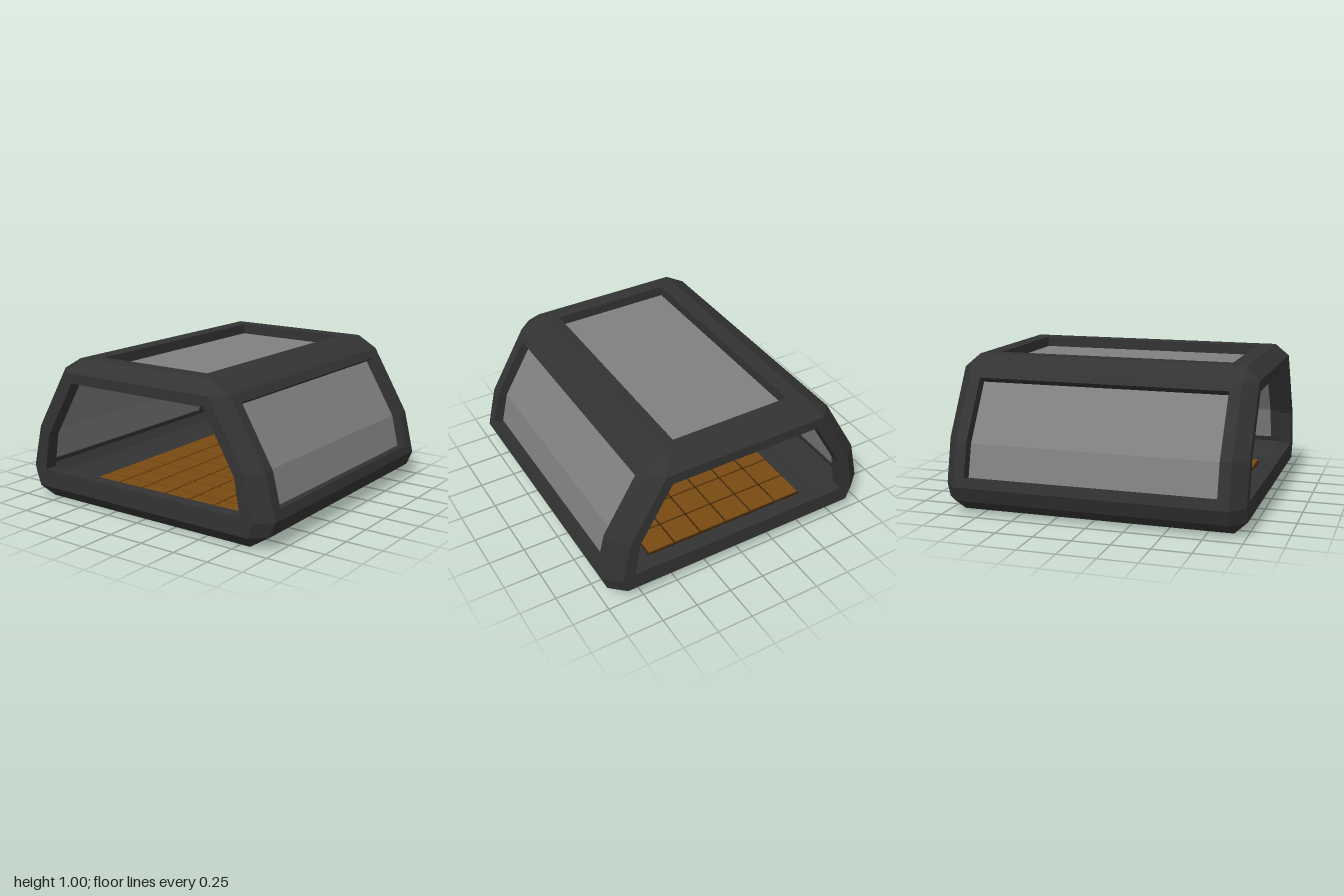
import * as THREE from 'three';

const frameMat = new THREE.MeshStandardMaterial({ color: 0x333333, flatShading: true });
const glassMat = new THREE.MeshStandardMaterial({ color: 0x808080, flatShading: true });
const baseMat = new THREE.MeshStandardMaterial({ color: 0x3a2208 });
const tileMat = new THREE.MeshStandardMaterial({ color: 0x7a4a12 });

// Half profiles as [z, y], from the bottom centre outwards and up to the roof
const outer = [[0.82, 0], [0.96, 0.09], [1, 0.19], [0.93, 0.48], [0.67, 0.92], [0.53, 1]];
const bevel = [[0.86, 0.09], [0.86, 0.09], [0.895, 0.19], [0.83, 0.48], [0.575, 0.915], [0.575, 0.915]];
const opening = [[0.805, 0.21], [0.805, 0.21], [0.805, 0.21], [0.765, 0.45], [0.535, 0.845], [0.535, 0.845]];
const inner = [[0.76, 0.1], [0.86, 0.14], [0.9, 0.2], [0.835, 0.45], [0.6, 0.84], [0.5, 0.9]];

// Lower and upper edges of the sloping windows, on the outer and inner skins
const lowOut = [0.985, 0.255], lowIn = [0.888, 0.232];
const highOut = [0.703, 0.865], highIn = [0.617, 0.814];

const END = 0.91, SIDE_HALF = 0.835, TOP_HALF = 0.8, TOP_Z = 0.42;
const flip = (pts) => pts.map(([z, y]) => [-z, y]).reverse();

// Extrudes a [z, y] outline along x from x0 to x1
function bar(name, pts, x0, x1, mat = frameMat) {
  const shape = new THREE.Shape(pts.map(([z, y]) => new THREE.Vector2(z, y)));
  const geo = new THREE.ExtrudeGeometry(shape, { depth: x1 - x0, bevelEnabled: false });
  geo.rotateY(-Math.PI / 2).translate(x1, 0, 0);
  const mesh = new THREE.Mesh(geo, mat);
  mesh.name = name;
  return mesh;
}

function box(name, w, h, d, x, y, z, mat) {
  const mesh = new THREE.Mesh(new THREE.BoxGeometry(w, h, d), mat);
  mesh.position.set(x, y, z);
  mesh.name = name;
  return mesh;
}

// Bevelled end ring, lofted around: outer skin, end face, opening, inside face
function endFrameGeometry() {
  const section = (half, x) => [...half, ...flip(half)].map(([z, y]) => [x, y, z]);
  const loops = [section(outer, END), section(bevel, 1), section(opening, 1), section(opening, END)];
  const pos = [];
  const n = loops[0].length;
  loops.forEach((loop, s) => {
    const next = loops[(s + 1) % loops.length];
    for (let i = 0; i < n; i++) {
      const j = (i + 1) % n;
      pos.push(...loop[i], ...next[i], ...next[j], ...loop[i], ...next[j], ...loop[j]);
    }
  });
  const geo = new THREE.BufferGeometry();
  geo.setAttribute('position', new THREE.Float32BufferAttribute(pos, 3));
  geo.computeVertexNormals();
  return geo;
}

export function createModel() {
  const model = new THREE.Group();
  model.name = 'shelter';

  // Tray: underside, lower chamfers and lower window sills in one piece
  const trayOut = [...outer.slice(0, 3), lowOut];
  const trayIn = [...inner.slice(0, 3), lowIn];
  model.add(bar('baseTray',
    [...trayOut, ...[...trayIn].reverse(), ...[...flip(trayIn)].reverse(), ...flip(trayOut)], -END, END));

  // Front and back: roof rail, window posts and bent window pane
  const rail = [highOut, outer[4], outer[5], [TOP_Z, 1], [TOP_Z, 0.9], inner[5], inner[4], highIn];
  const post = [lowOut, outer[3], highOut, highIn, inner[3], lowIn];
  const pane = [[0.917, 0.239], [0.865, 0.457], [0.642, 0.829], [0.625, 0.82], [0.845, 0.452], [0.897, 0.234]];
  for (const side of ['front', 'back']) {
    const place = (pts) => (side === 'front' ? pts : flip(pts));
    model.add(bar(side + 'RoofRail', place(rail), -END, END));
    model.add(bar(side + 'LeftPost', place(post), SIDE_HALF, END));
    model.add(bar(side + 'RightPost', place(post), -END, -SIDE_HALF));
    model.add(bar(side + 'Window', place(pane), -SIDE_HALF, SIDE_HALF, glassMat));
  }

  // Roof window and its end bars
  const barWidth = END - TOP_HALF;
  for (const s of [1, -1]) {
    model.add(box(s > 0 ? 'leftRoofBar' : 'rightRoofBar', barWidth, 0.1, TOP_Z * 2,
      s * (TOP_HALF + barWidth / 2), 0.95, 0, frameMat));
  }
  model.add(box('roofWindow', TOP_HALF * 2, 0.02, TOP_Z * 2, 0, 0.92, 0, glassMat));

  // Open end frames
  const endGeo = endFrameGeometry();
  for (const s of [1, -1]) {
    const end = new THREE.Mesh(endGeo, frameMat);
    end.name = s > 0 ? 'leftEndFrame' : 'rightEndFrame';
    end.rotation.y = s > 0 ? 0 : Math.PI;
    model.add(end);
  }

  // Tiled floor
  const floor = new THREE.Group();
  floor.name = 'tiledFloor';
  floor.add(box('floorBase', 1.6, 0.01, 1.2, 0, 0.105, 0, baseMat));
  for (let i = 0; i < 8; i++) {
    for (let k = 0; k < 6; k++) {
      floor.add(box('floorTile', 0.185, 0.015, 0.185, -0.7 + i * 0.2, 0.1125, -0.5 + k * 0.2, tileMat));
    }
  }
  model.add(floor);
  return model;
}
